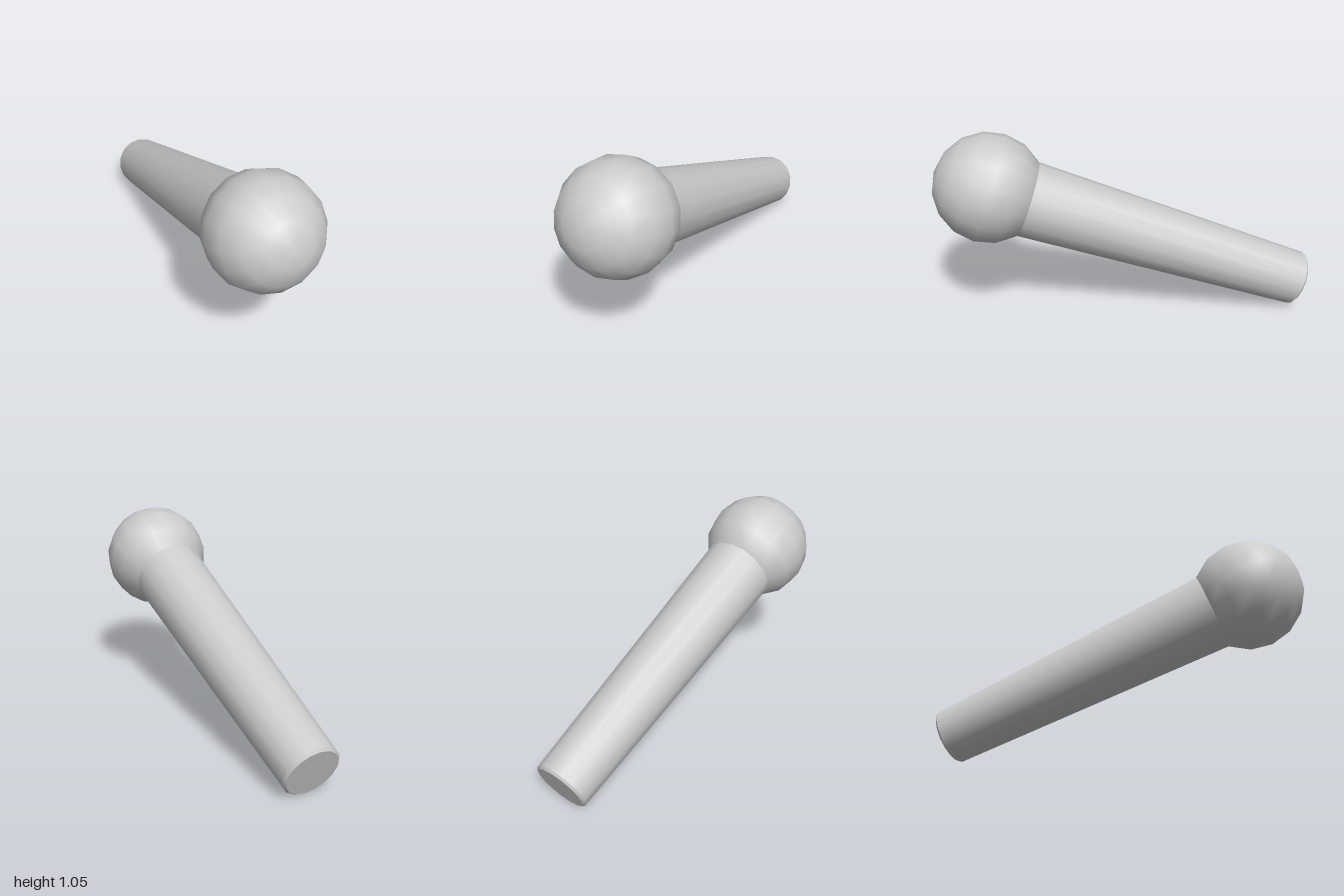
import * as THREE from 'three';

const SIDES = 16;
const TILT = 1.213;      // lean of the long axis away from vertical, towards +z
const HEAD_AT = 1.777;   // distance from the butt to the centre of the head
const BEVEL = 0.012;

export function createModel() {
  const model = new THREE.Group();
  const material = new THREE.MeshStandardMaterial({ color: 0xcccccc });

  // Built upright along y with the butt at the origin, then tilted as a whole
  const body = new THREE.Group();
  body.name = 'microphone';
  const add = (name, geometry, y) => {
    const mesh = new THREE.Mesh(geometry, material);
    mesh.name = name;
    mesh.position.y = y;
    body.add(mesh);
  };

  // Tapered handle, its wide end buried in the head
  const length = 1.62;
  add('handle', new THREE.CylinderGeometry(0.202, 0.15, length, SIDES, 1, true), BEVEL + length / 2);

  // Bevelled flat butt
  add('handleEnd', new THREE.CylinderGeometry(0.15, 0.138, BEVEL, SIDES), BEVEL / 2);

  // Ball head
  add('head', new THREE.SphereGeometry(0.287, SIDES, SIDES / 2), HEAD_AT);

  body.rotation.x = TILT;
  body.position.set(0, 0.14, -0.95);
  model.add(body);
  return model;
}
